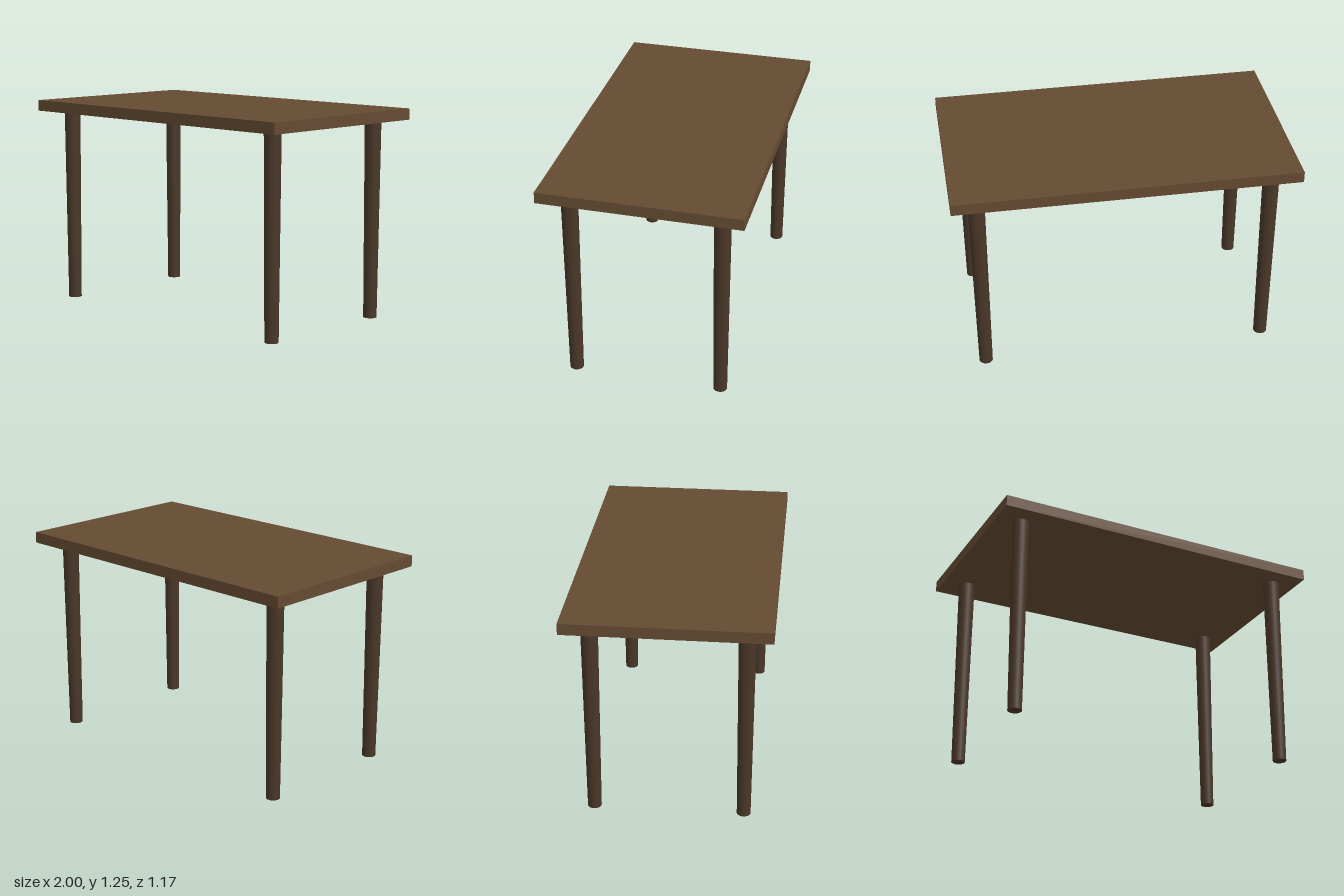
import * as THREE from 'three';

export function createModel() {
  const table = new THREE.Group();
  table.name = 'table';
  const topWood = new THREE.MeshStandardMaterial({ color: 0x654b32 });
  const legWood = new THREE.MeshStandardMaterial({ color: 0x4a3728 });

  const height = 1.25, thickness = 0.066;
  const legHeight = height - thickness;

  // Flat rectangular slab
  const top = new THREE.Mesh(new THREE.BoxGeometry(2, thickness, 1.167), topWood);
  top.name = 'tableTop';
  top.position.y = height - thickness / 2;
  table.add(top);

  // Four round legs, tapering towards the floor
  const legGeometry = new THREE.CylinderGeometry(0.049, 0.04, legHeight, 32);
  for (const [zName, z] of [['front', 0.434], ['back', -0.434]]) {
    for (const [xName, x] of [['Left', 0.85], ['Right', -0.85]]) {
      const leg = new THREE.Mesh(legGeometry, legWood);
      leg.name = `${zName}${xName}Leg`;
      leg.position.set(x, legHeight / 2, z);
      table.add(leg);
    }
  }
  return table;
}
